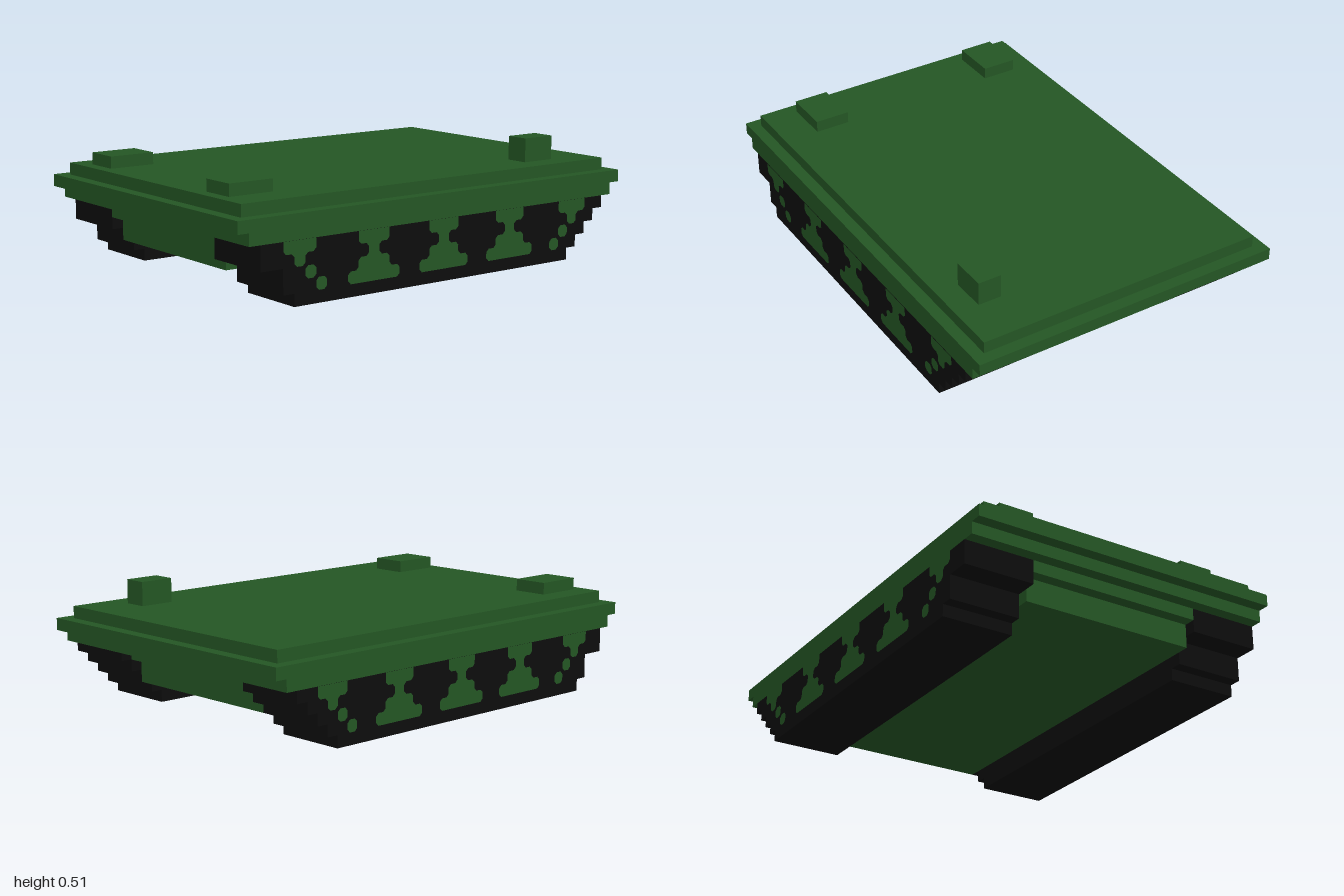
import * as THREE from 'three';

const V = 2 / 39; // block size; x is counted from the right end, z from the centre
const X = (i) => (i - 19.5) * V;

export function createModel() {
  const model = new THREE.Group();
  const green = new THREE.MeshStandardMaterial({ color: 0x245624 });
  green.name = 'hull green';
  const black = new THREE.MeshStandardMaterial({ color: 0x0d0d0d });
  black.name = 'track black';

  // box given by its block ranges
  const block = (name, mat, x0, x1, y0, y1, z0, z1, parent = model) => {
    const mesh = new THREE.Mesh(new THREE.BoxGeometry((x1 - x0) * V, (y1 - y0) * V, (z1 - z0) * V), mat);
    mesh.position.set((X(x0) + X(x1)) / 2, (y0 + y1) * V / 2, (z0 + z1) * V / 2);
    mesh.name = name;
    parent.add(mesh);
  };

  // lower hull between the tracks
  block('lowerHull', green, 3, 35, 2, 4, -7.5, 7.5);
  block('lowerHullLip', green, 2, 36, 4, 5, -7.5, 7.5);

  // stepped upper hull
  block('hullSkirt', green, 1, 38, 5, 6, -13.5, 13.5);
  block('hullRim', green, 0, 39, 6, 7, -13.5, 13.5);
  block('deck', green, 1, 38, 7, 8, -12.5, 12.5);

  // deck fittings
  block('deckBox', green, 2, 6, 8, 9, -10.5, -7.5);
  block('deckBox', green, 2, 6, 8, 9, 6.5, 9.5);
  block('periscope', green, 31, 34, 8, 10, 8.5, 10.5);

  // stepped tracks, rows from the ground up
  const trackRows = [[5, 33], [4, 34], [4, 35], [2, 36], [2, 37]];
  for (const side of [1, -1]) {
    const track = new THREE.Group();
    track.name = side > 0 ? 'frontTrack' : 'backTrack';
    trackRows.forEach(([a, b], y) =>
      block('trackRow', black, a, b, y, y + 1, side > 0 ? 7.5 : -13.5, side > 0 ? 13.5 : -7.5, track));
    model.add(track);
  }

  // outline from rows [left, right] going up from block row y0, corners cut off
  const patch = (y0, rows) => {
    const left = [], right = [];
    rows.forEach(([a, b], k) => {
      left.push([a, y0 + k], [a, y0 + k + 1]);
      right.push([b, y0 + k], [b, y0 + k + 1]);
    });
    const pts = [...right, ...left.reverse()].map(([x, y]) => new THREE.Vector2(X(x), y * V));
    const out = [];
    pts.forEach((p, i) => {
      if (p.y > 4.9 * V) return out.push(p);
      for (const q of [pts.at(i - 1), pts[(i + 1) % pts.length]]) {
        out.push(p.clone().add(q.clone().sub(p).setLength(0.25 * V)));
      }
    });
    return new THREE.Shape(out);
  };

  // green hull areas showing between the wheels
  const shapes = [];
  for (let i = 0; i < 3; i++) {
    const s = 7 * i;
    shapes.push(patch(1, [[10 + s, 15 + s], [11 + s, 14 + s], [12 + s, 13 + s], [11 + s, 14 + s]]));
  }
  shapes.push(patch(3, [[5, 6], [4, 7]]), patch(2, [[6, 7]]), patch(1, [[7, 8]]));
  shapes.push(patch(3, [[33, 34], [32, 35]]), patch(2, [[32, 33]]), patch(1, [[31, 32]]));
  const panelGeo = new THREE.ShapeGeometry(shapes);
  for (const side of [1, -1]) {
    const panel = new THREE.Mesh(panelGeo, green);
    panel.name = side > 0 ? 'frontWheelGaps' : 'backWheelGaps';
    panel.position.z = side * (13.5 * V + 0.002);
    if (side < 0) panel.rotation.y = Math.PI;
    model.add(panel);
  }
  return model;
}
